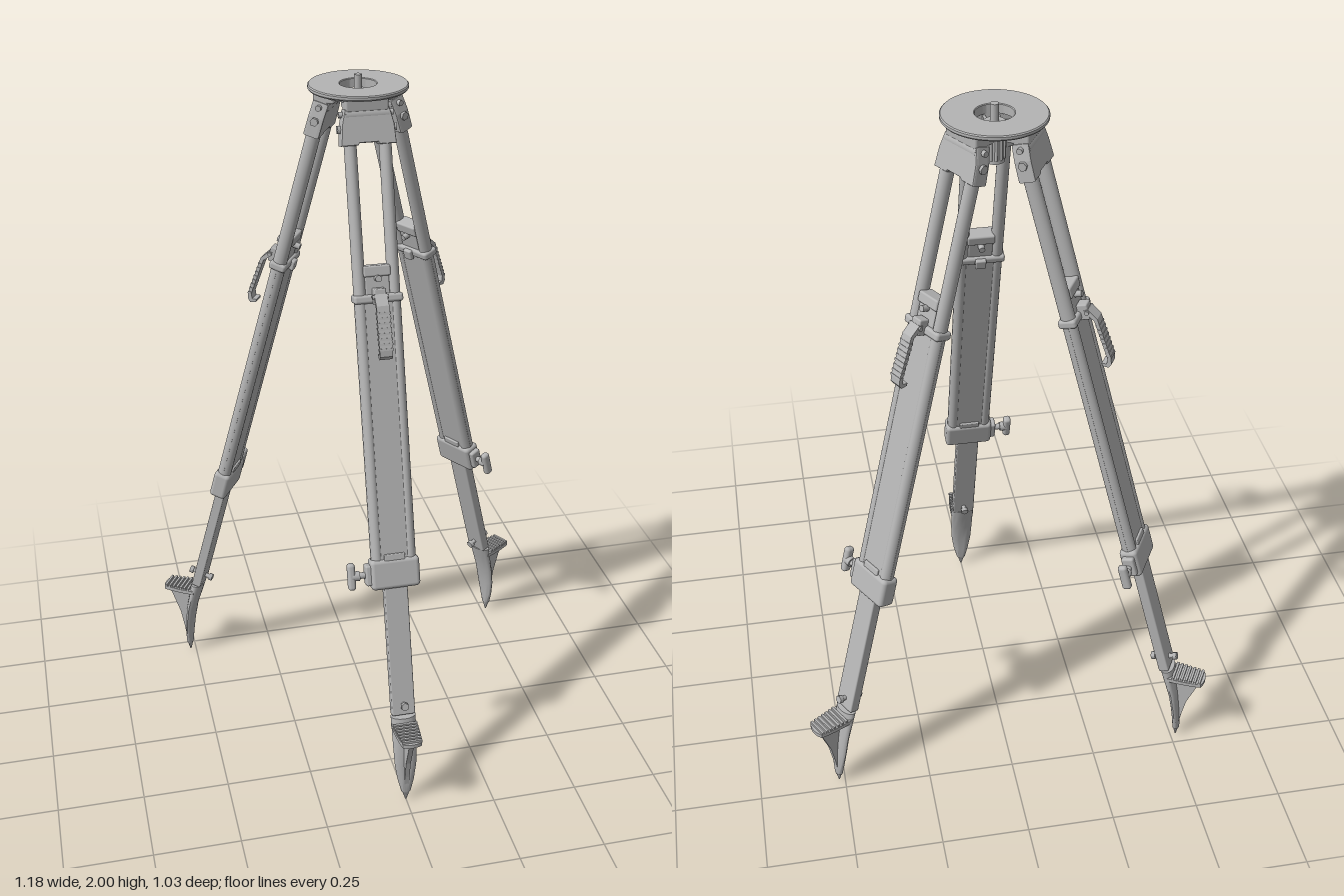
import * as THREE from 'three';
import { RoundedBoxGeometry } from 'three/addons/geometries/RoundedBoxGeometry.js';
import { toCreasedNormals } from 'three/addons/utils/BufferGeometryUtils.js';

const grey = new THREE.MeshStandardMaterial({ color: 0xb4b4b4 });
grey.name = 'greyMetal';

function add(parent, name, geo, x = 0, y = 0, z = 0) {
  const m = new THREE.Mesh(geo, grey);
  m.name = name;
  m.position.set(x, y, z);
  parent.add(m);
  return m;
}
const box = (w, h, d) => new THREE.BoxGeometry(w, h, d);
const round = (w, h, d, r) => new RoundedBoxGeometry(w, h, d, 3, r);
const cyl = (rt, rb, h, n = 24) => new THREE.CylinderGeometry(rt, rb, h, n);
const cylX = (r, h, n = 16) => cyl(r, r, h, n).rotateZ(Math.PI / 2);
const cylZ = (r, h, n = 16) => cyl(r, r, h, n).rotateX(Math.PI / 2);

// Side outline given as [z, y] pairs, extruded across x
function sidePlate(points, width) {
  const shape = new THREE.Shape(points.map(p => new THREE.Vector2(...p)));
  return new THREE.ExtrudeGeometry(shape, { depth: width, bevelEnabled: false })
    .rotateY(-Math.PI / 2).translate(width / 2, 0, 0);
}

// Elliptic loft, rows from bottom to top: [y, centre z, half width, half depth]
function loft(rows, n = 20) {
  const pos = [], idx = [];
  for (const [y, z, a, b] of rows)
    for (let i = 0; i < n; i++) {
      const t = (i / n) * Math.PI * 2;
      pos.push(a * Math.cos(t), y, z + b * Math.sin(t));
    }
  for (let r = 0; r < rows.length - 1; r++)
    for (let i = 0; i < n; i++) {
      const a = r * n + i, b = r * n + (i + 1) % n;
      idx.push(a, a + n, b, b, a + n, b + n);
    }
  const top = (rows.length - 1) * n;
  for (let i = 1; i < n - 1; i++) idx.push(0, i, i + 1, top, top + i + 1, top + i);
  const g = new THREE.BufferGeometry();
  g.setAttribute('position', new THREE.Float32BufferAttribute(pos, 3));
  g.setIndex(idx);
  return toCreasedNormals(g, 0.7);
}

function buildHead() {
  const head = new THREE.Group();
  head.name = 'head';
  // Flat ring plate with a stepped underside
  const ring = [[0.05, 1.95], [0.105, 1.95], [0.11, 1.962], [0.134, 1.962], [0.137, 1.966],
    [0.137, 1.973], [0.134, 1.976], [0.052, 1.976], [0.05, 1.974], [0.05, 1.95]];
  add(head, 'headPlate', toCreasedNormals(
    new THREE.LatheGeometry(ring.map(p => new THREE.Vector2(...p)), 64), 0.5));
  // Fixing screw on its swinging arm
  add(head, 'fixingScrew', cyl(0.011, 0.011, 0.07), 0, 1.965, 0);
  add(head, 'screwCollar', cyl(0.028, 0.028, 0.014), 0, 1.945, 0);
  for (const s of [-1, 1]) add(head, 'screwArm', box(0.008, 0.012, 0.15), s * 0.018, 1.94, 0);
  add(head, 'screwKnob', cyl(0.024, 0.027, 0.085, 20), 0, 1.888, 0);
  for (let i = 0; i < 12; i++) {
    const t = i * Math.PI / 6;
    add(head, 'knobRib', cyl(0.004, 0.004, 0.06, 8), Math.sin(t) * 0.026, 1.885, Math.cos(t) * 0.026);
  }
  return head;
}

function buildUpperLeg() {
  const leg = new THREE.Group();
  leg.name = 'tiltedLeg';
  // Hinge casting
  const s = new THREE.Shape([[-0.06, 0.03], [-0.07, -0.01], [-0.074, -0.062], [-0.03, -0.062],
    [-0.026, -0.056], [0.026, -0.056], [0.03, -0.062], [0.074, -0.062], [0.07, -0.01], [0.06, 0.03]]
    .map(p => new THREE.Vector2(...p)));
  add(leg, 'hingeCasting', new THREE.ExtrudeGeometry(s, {
    depth: 0.028, bevelEnabled: true, bevelSize: 0.002, bevelThickness: 0.008, bevelSegments: 2
  }), 0, 0, -0.014);
  add(leg, 'hingeBarrel', cylX(0.023, 0.118, 24), 0, 0.018, 0);
  add(leg, 'hingePin', cylX(0.008, 0.15), 0, 0.018, 0);
  for (const x of [-1, 1]) {
    add(leg, 'hingeBolt', cylX(0.012, 0.012, 6), x * 0.075, -0.02, 0);
    // Side rails, slightly oval
    add(leg, 'rail', cyl(0.017, 0.017, 1.2).scale(1, 1, 1.2), x * 0.048, -0.645, 0);
    add(leg, 'railSeam', box(0.002, 0.74, 0.003), x * 0.0645, -0.85, 0);
  }
  add(leg, 'railPanel', box(0.096, 0.76, 0.034), 0, -0.85, 0);

  // Sliding board and its top cap
  add(leg, 'slidingBoard', round(0.068, 1.29, 0.03, 0.004), 0, -1.04, 0);
  add(leg, 'boardCap', round(0.076, 0.03, 0.042, 0.005), 0, -0.4, 0);
  add(leg, 'capBolt', cylZ(0.009, 0.07, 12), 0, -0.42, 0);

  // Upper collar
  add(leg, 'upperCollar', round(0.138, 0.024, 0.05, 0.008), 0, -0.475, 0);
  add(leg, 'strapBracket', round(0.034, 0.045, 0.03, 0.004), 0, -0.468, 0.03);
  add(leg, 'rearBracket', round(0.03, 0.03, 0.014, 0.004), 0, -0.48, -0.028);
  add(leg, 'strapPin', cylX(0.006, 0.046), 0, -0.468, 0.042);
  // Hanging strap with a hooked end and ribs
  add(leg, 'strap', sidePlate([[0.034, -0.462], [0.046, -0.46], [0.066, -0.49], [0.076, -0.61],
    [0.073, -0.628], [0.063, -0.637], [0.046, -0.63], [0.047, -0.622], [0.06, -0.625],
    [0.066, -0.61], [0.056, -0.495], [0.04, -0.475]], 0.036));
  for (let i = 0; i < 8; i++)
    add(leg, 'strapRib', box(0.04, 0.006, 0.011), 0, -0.51 - i * 0.014, 0.063 + i * 0.0012);

  // Lower clamp with T-handle
  const clamp = new THREE.Group();
  clamp.name = 'clamp';
  clamp.position.y = -1.256;
  leg.add(clamp);
  add(clamp, 'clampBody', round(0.142, 0.088, 0.052, 0.012));
  add(clamp, 'clampTab', round(0.06, 0.02, 0.046, 0.003), 0, 0.048, 0);
  add(clamp, 'clampLug', round(0.03, 0.06, 0.036, 0.006), -0.07, 0, 0);
  add(clamp, 'clampScrew', cylX(0.009, 0.05), -0.098, 0, 0);
  add(clamp, 'clampHub', cylX(0.014, 0.022), -0.112, 0, 0);
  add(clamp, 'clampHandle', round(0.022, 0.078, 0.026, 0.009), -0.124, 0, 0);

  // Bolt through the bottom of the board
  add(leg, 'footBolt', cylZ(0.007, 0.075), 0, -1.652, 0);
  for (const z of [-1, 1]) add(leg, 'footBoltHead', cylZ(0.012, 0.012, 6), 0, -1.652, z * 0.033);
  return leg;
}

function buildFoot() {
  const foot = new THREE.Group();
  foot.name = 'foot';
  add(foot, 'footShoe', loft([[0.0, 0.597, 0.002, 0.002], [0.028, 0.597, 0.011, 0.008],
    [0.03, 0.597, 0.014, 0.01], [0.07, 0.595, 0.024, 0.011], [0.12, 0.59, 0.032, 0.012],
    [0.18, 0.58, 0.035, 0.014], [0.235, 0.565, 0.036, 0.018], [0.275, 0.554, 0.037, 0.021]]));
  add(foot, 'footRib', sidePlate([[0.575, 0.25], [0.66, 0.25], [0.622, 0.15], [0.61, 0.09],
    [0.603, 0.04], [0.59, 0.06]], 0.014));
  // Step plate with a rounded end and gripping ridges
  const s = new THREE.Shape();
  s.moveTo(-0.037, 0.56);
  s.lineTo(0.037, 0.56);
  s.quadraticCurveTo(0.037, 0.62, 0.028, 0.663);
  s.quadraticCurveTo(0, 0.677, -0.028, 0.663);
  s.quadraticCurveTo(-0.037, 0.62, -0.037, 0.56);
  add(foot, 'stepPlate', new THREE.ExtrudeGeometry(s, { depth: 0.012, bevelEnabled: false })
    .rotateX(Math.PI / 2), 0, 0.255, 0);
  for (let i = 0; i < 7; i++)
    add(foot, 'stepRidge', box(0.072 - i * 0.0022, 0.01, 0.007), 0, 0.257, 0.58 + i * 0.013);
  return foot;
}

export function createModel() {
  const model = new THREE.Group();
  model.name = 'surveyTripod';
  const axis = new THREE.Group();
  axis.name = 'tripod';
  axis.position.z = -0.165;
  model.add(axis);
  axis.add(buildHead());

  for (let k = 0; k < 3; k++) {
    const side = new THREE.Group();
    side.name = ['frontLeg', 'backLeftLeg', 'backRightLeg'][k];
    side.rotation.y = k * Math.PI * 2 / 3;
    axis.add(side);
    // Hub lug that carries the hinge
    add(side, 'hubLug', round(0.118, 0.036, 0.06, 0.006), 0, 1.945, 0.08);
    const leg = buildUpperLeg();
    leg.position.set(0, 1.9, 0.095);
    leg.rotation.x = -0.274;
    side.add(leg, buildFoot());
  }
  return model;
}
